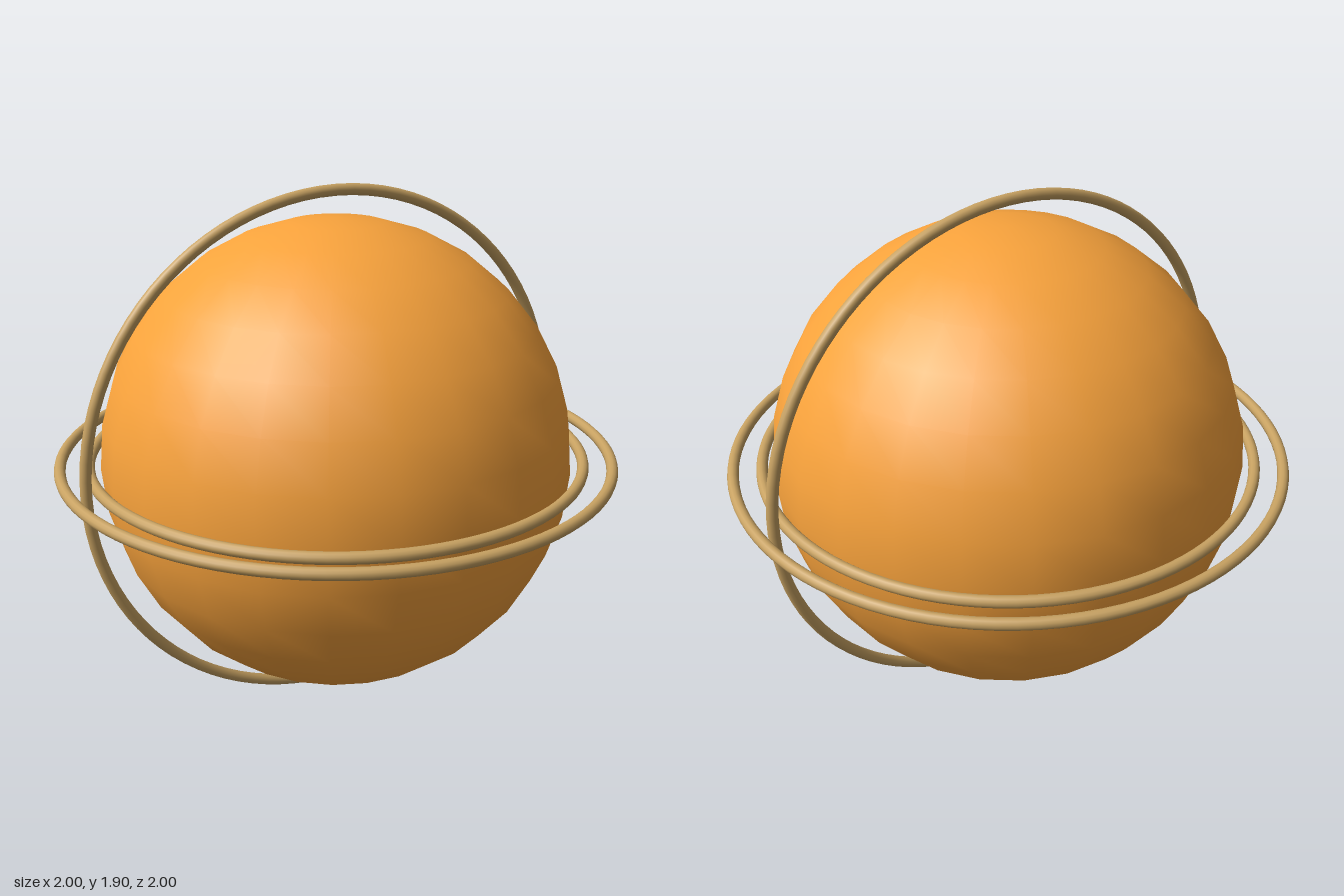
import * as THREE from 'three';

export function createModel() {
  const model = new THREE.Group();
  const centerY = 0.95;
  const planetMaterial = new THREE.MeshStandardMaterial({ color: 0xf9a33c });
  const ringMaterial = new THREE.MeshStandardMaterial({ color: 0xc8a262 });

  function add(name, geometry, material) {
    const mesh = new THREE.Mesh(geometry, material);
    mesh.name = name;
    mesh.position.y = centerY;
    model.add(mesh);
    return mesh;
  }

  // Smooth-shaded globe with a lightly faceted outline
  add('globe', new THREE.SphereGeometry(0.84, 24, 16), planetMaterial);

  // Three thin hoops: two level ones around the equator, one upright
  const hoops = [
    ['innerEquatorRing', 0.88, true],
    ['uprightRing', 0.93, false],
    ['outerEquatorRing', 0.98, true],
  ];
  for (const [name, radius, level] of hoops) {
    const ring = add(name, new THREE.TorusGeometry(radius, 0.02, 12, 96), ringMaterial);
    if (level) ring.rotation.x = Math.PI / 2;
  }

  return model;
}
